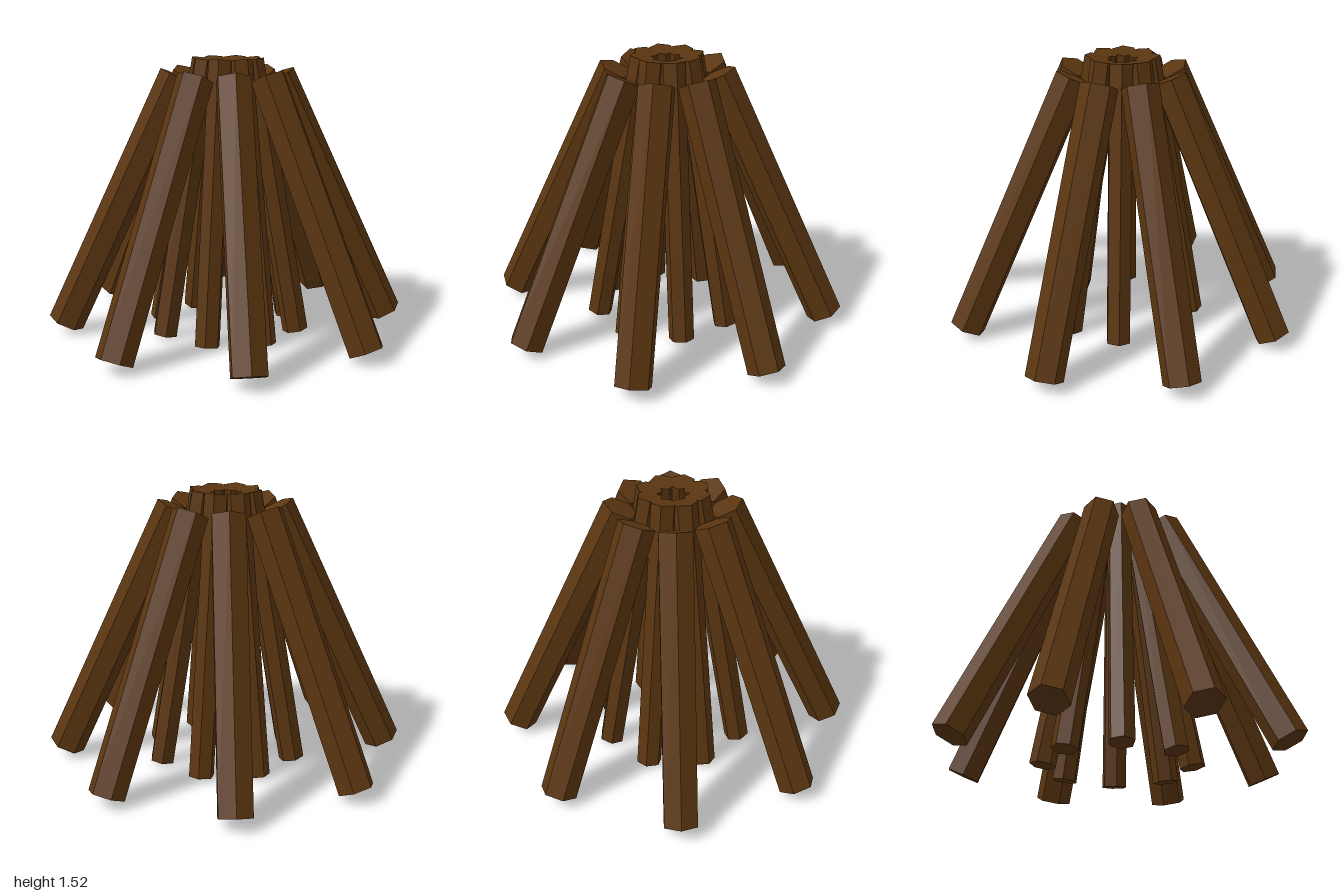
import * as THREE from 'three';

const rad = THREE.MathUtils.degToRad;

// A ring of eight hexagonal logs leaning in towards the centre
function logRing(name, { radius, length, tilt, spin, offset, distance, height }, material) {
  const ring = new THREE.Group();
  ring.name = name + 's';
  const geometry = new THREE.CylinderGeometry(radius, radius, length, 6);
  geometry.rotateY(rad(spin));
  for (let i = 0; i < 8; i++) {
    const angle = rad(offset + i * 45);
    const log = new THREE.Mesh(geometry, material);
    log.name = name;
    log.position.set(Math.sin(angle) * distance, height, Math.cos(angle) * distance);
    log.rotation.set(rad(-tilt), angle, 0, 'YXZ');
    ring.add(log);
  }
  return ring;
}

export function createModel() {
  const model = new THREE.Group();
  model.name = 'logPile';
  const wood = new THREE.MeshStandardMaterial({ color: 0x5a3510, flatShading: true });

  // Wide outer logs
  model.add(logRing('outerLog', {
    radius: 0.1, length: 1.509, tilt: 25, spin: 0, offset: 0, distance: 0.59, height: 0.737,
  }, wood));

  // Thin, steeper inner logs set between the outer ones
  model.add(logRing('innerLog', {
    radius: 0.07, length: 1.517, tilt: 10, spin: 7.5, offset: 22.5, distance: 0.262, height: 0.76,
  }, wood));

  return model;
}
